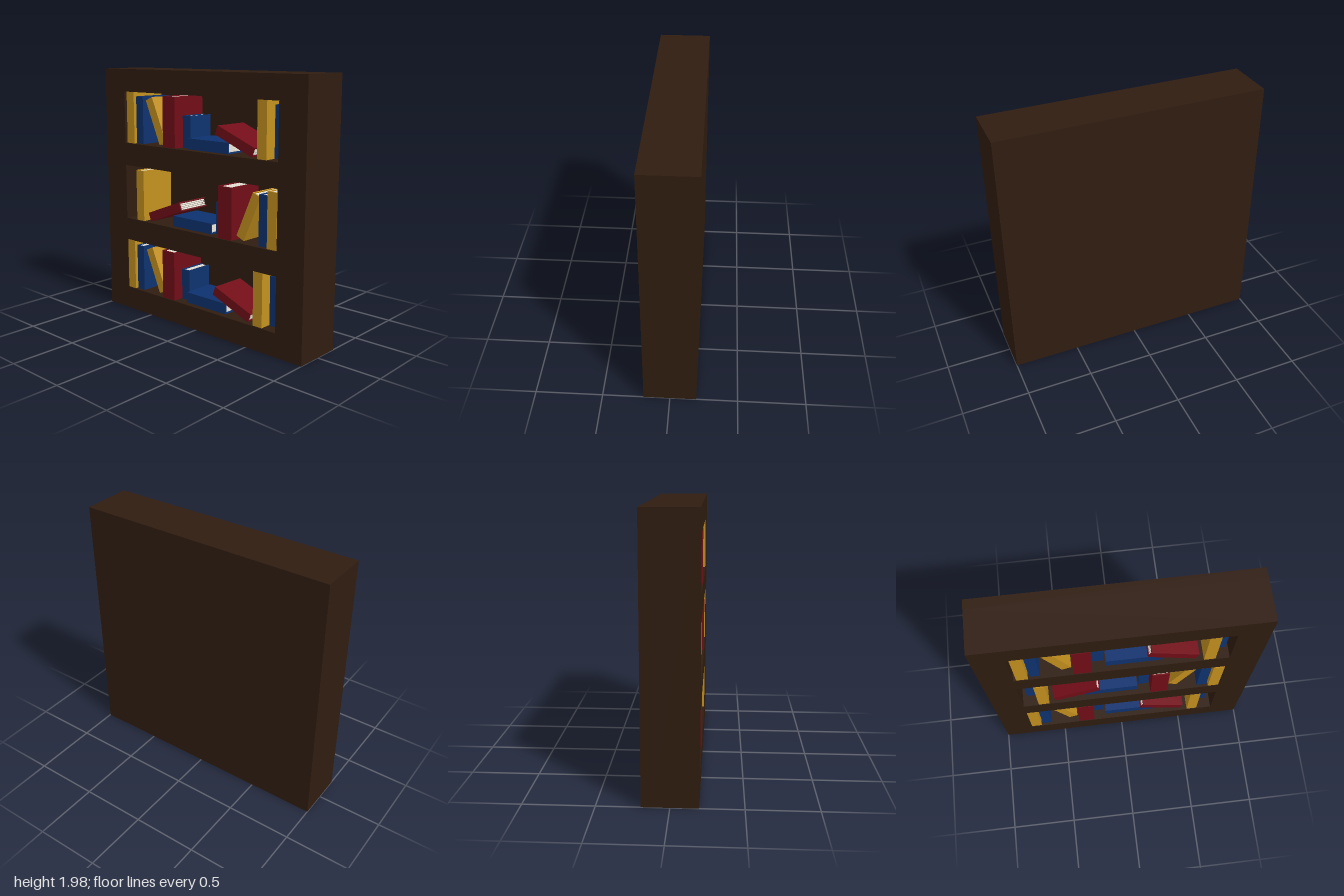
import * as THREE from 'three';

const BROWN = new THREE.MeshStandardMaterial({ color: 0x2f1c10 });
const YELLOW = new THREE.MeshStandardMaterial({ color: 0xc4911f });
const BLUE = new THREE.MeshStandardMaterial({ color: 0x0e326f });
const RED = new THREE.MeshStandardMaterial({ color: 0x720d18 });
const PAPER = new THREE.MeshStandardMaterial({ color: 0xe8e2d6 });

const FRONT = 0.195, CAVITY = 0.315, BOOK_BACK = 0.307;

function box(name, material, w, h, d, x, y, z) {
  const mesh = new THREE.Mesh(new THREE.BoxGeometry(w, h, d), material);
  mesh.name = name;
  mesh.position.set(x, y, z);
  return mesh;
}

// Upright book, spine towards +z, centred on its own origin
function makeBook(name, material, w, h, d) {
  const book = new THREE.Group();
  book.name = name;
  const t = 0.01, leaves = 4;
  book.add(box('spine', material, w, h, t, 0, 0, d / 2 - t / 2));
  for (const s of [-1, 1])
    book.add(box('cover', material, t, h, d - t, s * (w - t) / 2, 0, -t / 2));
  // Bundles of pages with narrow gaps between them
  const pitch = (w - 2 * t) / leaves;
  for (let i = 0; i < leaves; i++)
    book.add(box('pages', PAPER, pitch * 0.75, h - 0.012, d - t - 0.006,
      (i - (leaves - 1) / 2) * pitch, 0, -t / 2 + 0.003));
  return book;
}

// name, material, thickness, height, centre x, centre y above shelf, tilt, recess from the front
const BOOKS = [
  ['tallBook', YELLOW, 0.083, 0.408, -0.71, 0.205, 0, 0.003],
  ['mediumBook', BLUE, 0.077, 0.372, -0.62, 0.188, 0, 0.02],
  ['leaningBook', YELLOW, 0.075, 0.37, -0.465, 0.19, 0.415, 0.045],
  ['thickBook', RED, 0.13, 0.39, -0.278, 0.196, 0, 0.003],
  ['shortBook', BLUE, 0.08, 0.245, -0.165, 0.124, 0, 0.082],
  ['lyingBook', BLUE, 0.083, 0.402, 0.09, 0.043, Math.PI / 2, 0.04],
  ['fallenBook', RED, 0.072, 0.367, 0.364, 0.105, 1.2, 0.02],
  ['tallBook', YELLOW, 0.083, 0.408, 0.626, 0.205, 0, 0.003],
  ['mediumBook', BLUE, 0.077, 0.372, 0.714, 0.188, 0, 0.083],
];

// Row of books; mirror = -1 reverses the arrangement
function makeRow(name, y, dx, mirror) {
  const row = new THREE.Group();
  row.name = name;
  row.position.set(dx, y, 0);
  for (const [label, material, w, h, x, cy, tilt, recess] of BOOKS) {
    const d = BOOK_BACK - recess;
    const book = makeBook(label, material, w, h, d);
    book.position.set(mirror * x, cy, FRONT - recess - d / 2);
    book.rotation.z = mirror * tilt;
    row.add(book);
  }
  return row;
}

export function createModel() {
  const model = new THREE.Group();
  model.name = 'bookcase';

  // Case with three shelf openings
  const outline = new THREE.Shape([[-1, 0], [1, 0], [1, 1.98], [-1, 1.98]]
    .map(([x, y]) => new THREE.Vector2(x, y)));
  for (const [y0, y1] of [[0.18, 0.593], [0.773, 1.213], [1.393, 1.803]])
    outline.holes.push(new THREE.Path([[-0.774, y0], [-0.774, y1], [0.77, y1], [0.77, y0]]
      .map(([x, y]) => new THREE.Vector2(x, y))));
  const frame = new THREE.Mesh(
    new THREE.ExtrudeGeometry(outline, { depth: CAVITY, bevelEnabled: false }), BROWN);
  frame.name = 'caseFrame';
  frame.position.z = FRONT - CAVITY;
  model.add(frame);

  // Solid back
  const back = 2 * FRONT - CAVITY;
  model.add(box('backPanel', BROWN, 2, 1.98, back, 0, 0.99, -FRONT + back / 2));

  // Books
  model.add(makeRow('topRow', 1.395, 0, 1));
  model.add(makeRow('middleRow', 0.775, 0.013, -1));
  model.add(makeRow('bottomRow', 0.182, -0.021, 1));
  return model;
}
